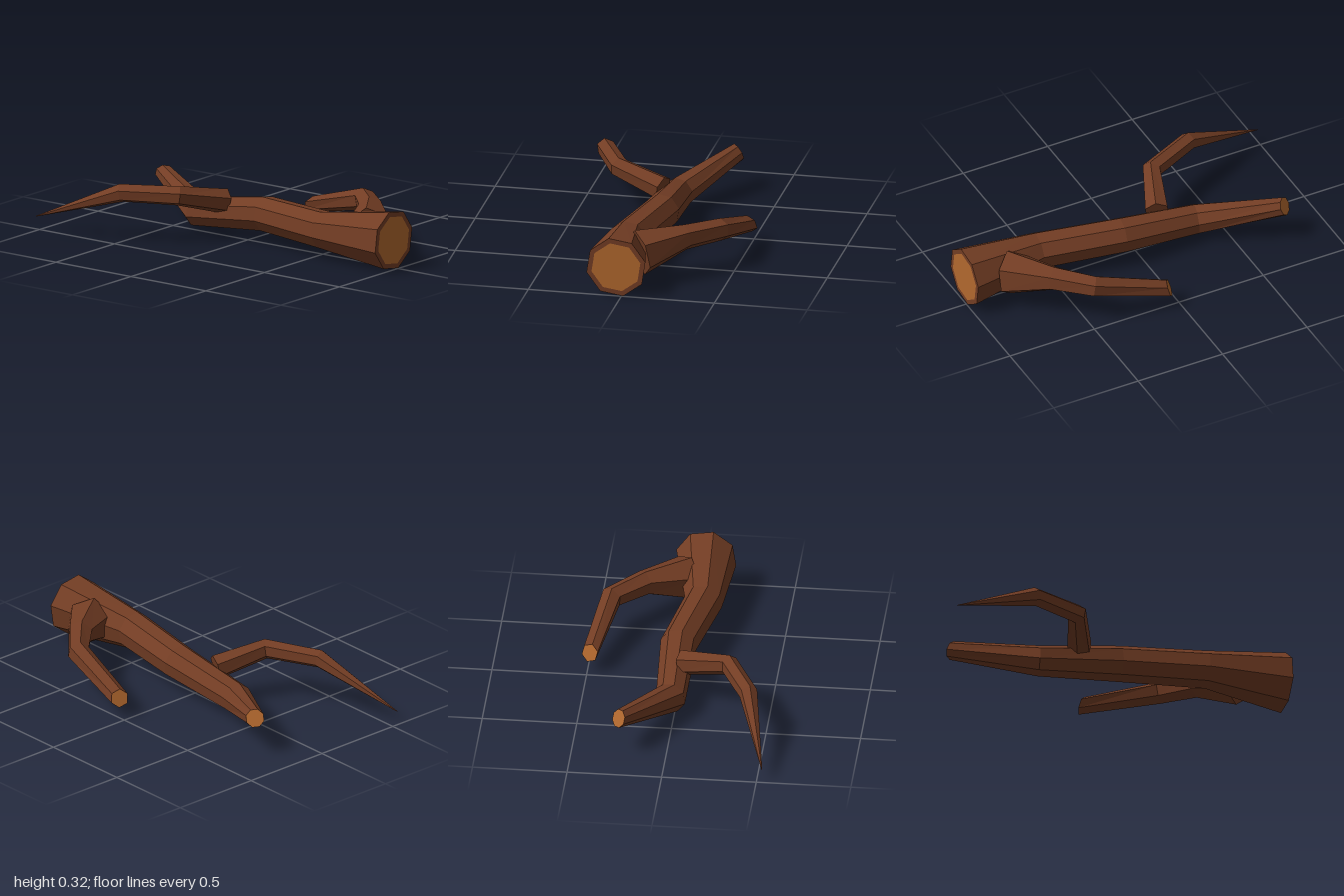
import * as THREE from 'three';

const bark = new THREE.MeshStandardMaterial({ color: 0x733d24 });
bark.name = 'bark';
const cutWood = new THREE.MeshStandardMaterial({ color: 0xb2682e });
cutWood.name = 'cutWood';

const UP = new THREE.Vector3(0, 1, 0);

// Places a polygon ring around centre c, facing along n
function makeRing(c, r, n, sides, phase) {
  const u = new THREE.Vector3().crossVectors(UP, n).normalize();
  const v = new THREE.Vector3().crossVectors(n, u);
  return Array.from({ length: sides }, (_, j) => {
    const a = phase + (j / sides) * Math.PI * 2;
    return c.clone().addScaledVector(u, r * Math.cos(a)).addScaledVector(v, r * Math.sin(a));
  });
}

// Lofts a faceted limb through stations [x, y, z, radius].
// startCut / endCut give the size of the bare wood disc relative to the end ring.
function limb(name, stations, { sides, phase = 0, endNormal, startCut = 0, endCut = 0 }) {
  const centres = stations.map(([x, y, z]) => new THREE.Vector3(x, y, z));
  const last = centres.length - 1;
  const dir = i => centres[i + 1].clone().sub(centres[i]).normalize();
  const normals = centres.map((_, i) => {
    if (i === 0) return dir(0);
    if (i === last) return endNormal ? new THREE.Vector3(...endNormal).normalize() : dir(last - 1);
    return dir(i - 1).add(dir(i)).normalize();
  });
  if (startCut) normals[0].set(-1, 0, 0);
  const rings = centres.map((c, i) => makeRing(c, stations[i][3], normals[i], sides, phase));

  const barkPts = [], woodPts = [];
  const band = (a, b) => {
    for (let j = 0; j < sides; j++) {
      const k = (j + 1) % sides;
      barkPts.push(a[j], a[k], b[j], a[k], b[k], b[j]);
    }
  };
  for (let i = 0; i < last; i++) band(rings[i], rings[i + 1]);

  // End discs, with a bark rim where the cut is smaller than the ring
  const cap = (i, cut, flip) => {
    const c = centres[i];
    const inner = rings[i].map(p => c.clone().lerp(p, cut || 1));
    if (cut && cut < 1) flip ? band(inner, rings[i]) : band(rings[i], inner);
    const out = cut ? woodPts : barkPts;
    for (let j = 0; j < sides; j++) {
      const k = (j + 1) % sides;
      flip ? out.push(c, inner[k], inner[j]) : out.push(c, inner[j], inner[k]);
    }
  };
  cap(0, startCut, true);
  cap(last, endCut, false);

  const geo = new THREE.BufferGeometry().setFromPoints([...barkPts, ...woodPts]);
  geo.addGroup(0, barkPts.length, 0);
  geo.addGroup(barkPts.length, woodPts.length, 1);
  geo.computeVertexNormals();
  const mesh = new THREE.Mesh(geo, [bark, cutWood]);
  mesh.name = name;
  return mesh;
}

export function createModel() {
  const model = new THREE.Group();
  model.name = 'fallenBranch';

  // Main stem, from the wide cut base to the narrow cut end
  model.add(limb('mainStem', [
    [0.995, 0.16, 0.03, 0.163],
    [0.55, 0.155, 0.06, 0.102],
    [0.1, 0.155, -0.025, 0.097],
    [-0.35, 0.1, -0.02, 0.083],
    [-0.755, 0.2, -0.253, 0.05],
  ], { sides: 8, phase: 1.33, startCut: 0.83, endCut: 0.98, endNormal: [-0.62, 0.38, -0.68] }));

  // Thick rear branch, bent and sawn off
  model.add(limb('rearBranch', [
    [0.77, 0.168, -0.05, 0.125],
    [0.615, 0.215, -0.26, 0.068],
    [0.455, 0.212, -0.415, 0.06],
    [0.05, 0.107, -0.488, 0.05],
  ], { sides: 6, phase: 0.4, endCut: 0.95, endNormal: [-0.85, 0.32, -0.42] }));

  // Thin front twig, tapering to a point
  model.add(limb('frontTwig', [
    [-0.14, 0.195, 0.02, 0.068],
    [-0.245, 0.258, 0.28, 0.054],
    [-0.525, 0.257, 0.41, 0.05],
    [-1, 0.08, 0.53, 0.002],
  ], { sides: 6, phase: 0.4 }));

  return model;
}
